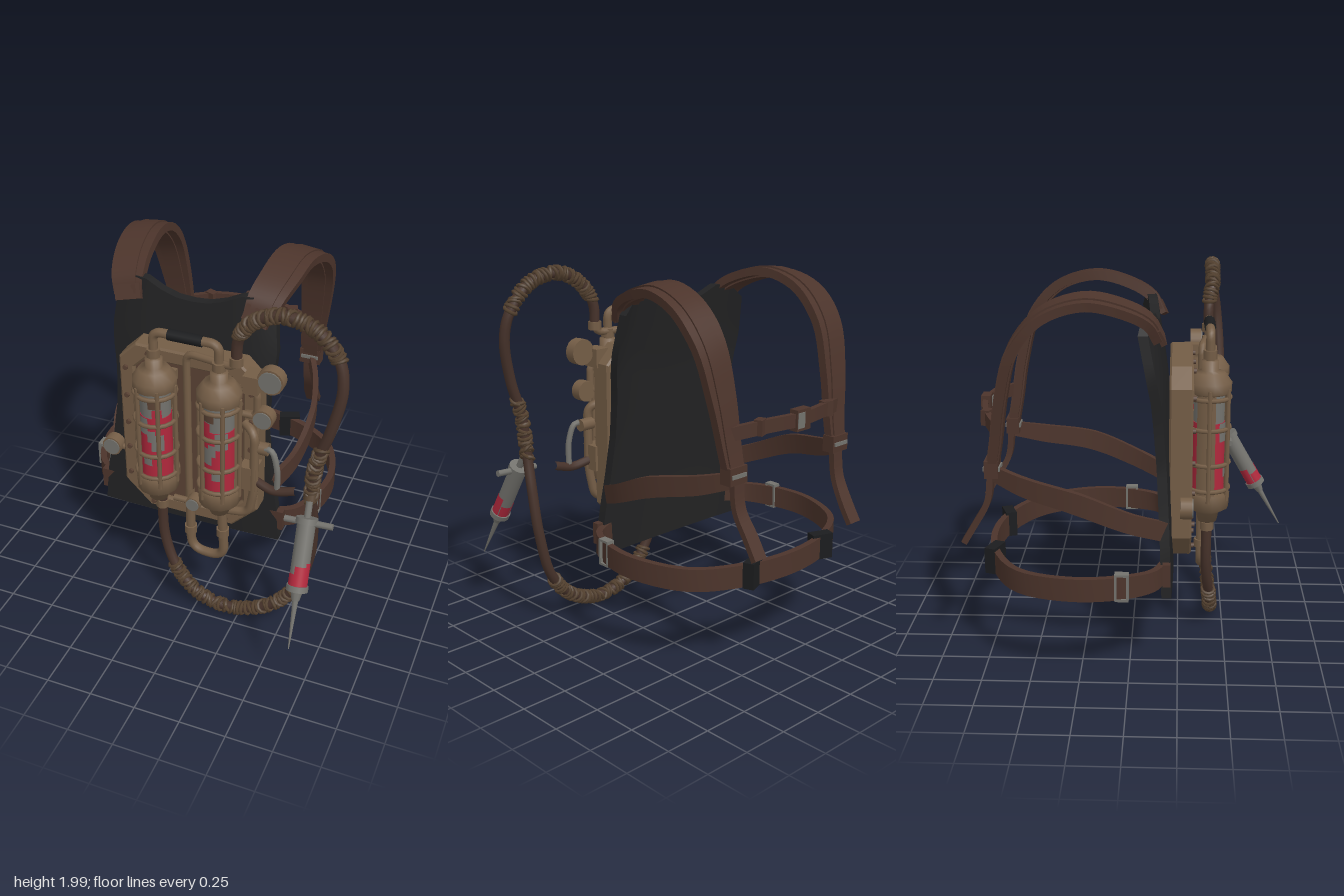
import * as THREE from 'three';
import { toCreasedNormals } from 'three/addons/utils/BufferGeometryUtils.js';

const V = (x, y, z) => new THREE.Vector3(x, y, z);
const UP = V(0, 1, 0);
const lerpList = (list, t) => {
  const f = Math.min(Math.max(t, 0), 1) * (list.length - 1), i = Math.min(Math.floor(f), list.length - 2);
  return list[i] + (list[i + 1] - list[i]) * (f - i);
};
const mat = (name, color) => Object.assign(new THREE.MeshStandardMaterial({ color }), { name });

export function createModel() {
  const M = {
    fabric: mat('black fabric', 0x222223), leather: mat('brown leather', 0x4c342b),
    brass: mat('aged brass', 0x745d46), plate: mat('dark bronze', 0x5a4234),
    hose: mat('hose leather', 0x46322a), wire: mat('wire wrap', 0x54412f),
    red: mat('red fluid', 0xb0283c), steel: mat('grey steel', 0x73726d),
    buckle: mat('black buckle', 0x1b1c1e),
  };
  const model = new THREE.Group();
  const add = (parent, name, geo, material, x = 0, y = 0, z = 0) => {
    const m = new THREE.Mesh(geo, material);
    m.name = name;
    m.position.set(x, y, z);
    parent.add(m);
    return m;
  };
  const group = (name, parent = model) => {
    const g = new THREE.Group();
    g.name = name;
    parent.add(g);
    return g;
  };
  const box = (parent, name, m, w, h, d, x, y, z) => add(parent, name, new THREE.BoxGeometry(w, h, d), m, x, y, z);
  const cyl = (parent, name, m, r0, r1, h, x, y, z, n = 14) => add(parent, name, new THREE.CylinderGeometry(r0, r1, h, n), m, x, y, z);
  const disc = (parent, name, m, r, d, x, y, z, n = 16) => {
    const c = cyl(parent, name, m, r, r, d, x, y, z, n);
    c.rotation.x = Math.PI / 2;
    return c;
  };
  // open curved plate on a cylinder, facing angle a
  const sleeve = (parent, name, m, r, h, y, a, w) => add(parent, name, new THREE.CylinderGeometry(r, r, h, 8, 1, true, a - w / 2, w), m, 0, y, 0);
  const curveOf = pts => new THREE.CatmullRomCurve3(pts.map(p => V(...p)), false, 'centripetal');
  const tube = (parent, name, m, pts, r, seg = 40) => add(parent, name, new THREE.TubeGeometry(curveOf(pts), seg, r, 9), m);
  // straight pipe with rounded elbows
  const pipe = (parent, name, m, pts, r, bend = 0.05) => {
    const p = pts.map(a => V(...a)), path = new THREE.CurvePath();
    let from = p[0];
    for (let i = 1; i < p.length - 1; i++) {
      const a = p[i].clone().add(p[i - 1].clone().sub(p[i]).setLength(bend));
      const b = p[i].clone().add(p[i + 1].clone().sub(p[i]).setLength(bend));
      path.add(new THREE.LineCurve3(from, a));
      path.add(new THREE.QuadraticBezierCurve3(a, p[i], b));
      from = b;
    }
    path.add(new THREE.LineCurve3(from, p[p.length - 1]));
    return add(parent, name, new THREE.TubeGeometry(path, 60, r, 9), m);
  };
  // flat strap swept along a path, wide along the direction "across"
  const strap = (parent, name, m, pts, across, widths, thick, seg = 30) => {
    const curve = curveOf(pts), pos = [], idx = [];
    for (let i = 0; i <= seg; i++) {
      const t = i / seg, c = curve.getPoint(t), tan = curve.getTangent(t);
      const r = V(...across).addScaledVector(tan, -V(...across).dot(tan)).normalize();
      const n = tan.clone().cross(r), w = lerpList(widths, t) / 2;
      for (const [a, b] of [[-1, -1], [1, -1], [1, 1], [-1, 1]])
        pos.push(...c.clone().addScaledVector(r, a * w).addScaledVector(n, b * thick / 2).toArray());
      if (i < seg) for (let k = 0; k < 4; k++) {
        const a = i * 4 + k, b = i * 4 + (k + 1) % 4;
        idx.push(a, b, b + 4, a, b + 4, a + 4);
      }
    }
    const e = seg * 4;
    idx.push(0, 3, 2, 0, 2, 1, e, e + 1, e + 2, e, e + 2, e + 3);
    const g = new THREE.BufferGeometry();
    g.setAttribute('position', new THREE.Float32BufferAttribute(pos, 3));
    g.setIndex(idx);
    return add(parent, name, toCreasedNormals(g, 0.6), m);
  };

  // Harness, symmetric about its own centre
  const harness = group('harness');
  harness.position.x = -0.12;
  const back = new THREE.BoxGeometry(2, 1, 0.05, 20, 20, 1), bp = back.attributes.position;
  for (let i = 0; i < bp.count; i++) {
    const u = bp.getX(i), v = bp.getY(i) + 0.5;
    const top = lerpList([1.77, 1.775, 1.8, 1.84, 1.84, 1.76], Math.abs(u));
    const half = lerpList([0.52, 0.5, 0.46, 0.43, 0.43, 0.455, 0.43], v);
    const z = lerpList([0.2, 0.195, 0.185, 0.165, 0.115], v) - lerpList([0.01, 0.02, 0.03, 0.05], v) * u * u;
    bp.setXYZ(i, u * half, 0.43 + v * (top - 0.43), bp.getZ(i) + z);
  }
  add(harness, 'backPanel', toCreasedNormals(back, 0.7), M.fabric);

  for (const s of [-1, 1]) {
    const side = group(s > 0 ? 'leftStraps' : 'rightStraps', harness);
    const mir = pts => pts.map(([x, y, z]) => [x * s, y, z]);
    const over = mir([[0.35, 1.74, 0.135], [0.37, 1.82, 0.09], [0.4, 1.89, -0.04], [0.42, 1.925, -0.22],
      [0.44, 1.86, -0.42], [0.44, 1.7, -0.56], [0.42, 1.45, -0.63], [0.4, 1.22, -0.665], [0.39, 1.08, -0.69]]);
    strap(side, 'shoulderStrap', M.leather, over, [s, -0.12, 0], [0.15, 0.18, 0.2, 0.2, 0.2, 0.17, 0.13, 0.11], 0.045, 40);
    strap(side, 'shoulderWebbing', M.leather, over, [s, -0.12, 0], [0.1, 0.1, 0.1, 0.1, 0.09, 0.08], 0.062, 40);
    const patch = box(side, 'shoulderPatch', M.leather, 0.14, 0.08, 0.03, s * 0.35, 1.76, 0.145);
    patch.rotation.set(-0.45, 0, s * -0.25);
    strap(side, 'sideStrap', M.leather, mir([[0.39, 1.05, -0.69], [0.47, 1.0, -0.52], [0.54, 0.94, -0.25],
      [0.53, 0.84, 0], [0.46, 0.77, 0.18]]), [0, 1, 0], [0.08, 0.1, 0.11, 0.1, 0.1], 0.03);
    strap(side, 'strapTail', M.leather, mir([[0.38, 1.06, -0.7], [0.38, 0.9, -0.72], [0.37, 0.77, -0.79], [0.37, 0.67, -0.85]]),
      [1, 0, 0], [0.07, 0.07, 0.08, 0.08], 0.032, 14);
    box(side, 'strapBuckle', M.leather, 0.12, 0.09, 0.07, s * 0.39, 1.08, -0.69);
    box(side, 'strapBar', M.steel, 0.1, 0.02, 0.085, s * 0.39, 1.08, -0.69);
    const clip = box(side, 'chestLoop', M.leather, 0.06, 0.08, 0.045, s * 0.25, 1.3, -0.73);
    clip.rotation.y = s * 0.35;
    const front = box(side, 'beltBuckle', M.buckle, 0.12, 0.14, 0.06, s * 0.265, 0.535, -0.715);
    front.rotation.y = s * 0.35;
    // open metal frame on the side of the belt
    for (const d of [-0.03, 0.03]) {
      box(side, 'beltFrame', M.steel, 0.045, 0.13, 0.012, s * 0.65, 0.55, -0.03 + d);
      box(side, 'beltFrame', M.steel, 0.045, 0.012, 0.07, s * 0.65, 0.55 + d * 2.2, -0.03);
    }
    box(side, 'beltPad', M.leather, 0.1, 0.12, 0.04, s * 0.49, 0.56, 0.19);
  }
  const half = [[0.45, 0.56, 0.18], [0.57, 0.55, 0.12], [0.65, 0.545, -0.05], [0.665, 0.54, -0.28], [0.55, 0.53, -0.55], [0.3, 0.53, -0.7]];
  strap(harness, 'waistBelt', M.leather, [...half.map(([x, y, z]) => [-x, y, z]), [0, 0.53, -0.75], ...half.reverse()],
    [0, 1, 0], [0.1, 0.12, 0.12, 0.12, 0.12, 0.12, 0.1], 0.035, 60);
  strap(harness, 'chestStrap', M.leather, [[-0.4, 1.28, -0.67], [-0.22, 1.3, -0.74], [0, 1.3, -0.77], [0.22, 1.3, -0.74], [0.4, 1.28, -0.67]],
    [0, 1, 0], [0.07, 0.07], 0.03);
  box(harness, 'chestClasp', M.leather, 0.1, 0.11, 0.05, 0, 1.3, -0.77);
  box(harness, 'chestClaspBar', M.steel, 0.05, 0.08, 0.058, 0.02, 1.3, -0.77);

  // Chamfered base plate with raised frame
  const machine = group('machine');
  const octagon = (T, x0, x1, y0, y1, a, b) => {
    const s = new T();
    [[x0 + b, y0], [x1 - b, y0], [x1, y0 + b], [x1, y1 - a], [x1 - a, y1], [x0 + a, y1], [x0, y1 - a], [x0, y0 + b]]
      .forEach(([x, y], i) => (i ? s.lineTo(x, y) : s.moveTo(x, y)));
    s.closePath();
    return s;
  };
  const rim = octagon(THREE.Shape, -0.45, 0.3, 0.55, 1.56, 0.09, 0.14);
  rim.holes.push(octagon(THREE.Path, -0.385, 0.235, 0.61, 1.5, 0.07, 0.11));
  add(machine, 'plateFrame', new THREE.ExtrudeGeometry(rim, { depth: 0.1, bevelSize: 0.01, bevelThickness: 0.01, bevelSegments: 1 }), M.brass, 0, 0, 0.205);
  add(machine, 'basePlate', new THREE.ExtrudeGeometry(octagon(THREE.Shape, -0.42, 0.27, 0.58, 1.54, 0.08, 0.12), { depth: 0.09, bevelEnabled: false }), M.plate, 0, 0, 0.2);
  for (const y of [0.75, 0.92, 1.08, 1.25, 1.42]) for (const x of [-0.42, 0.27]) disc(machine, 'bolt', M.plate, 0.014, 0.025, x, y, 0.318, 6);
  for (const x of [-0.29, -0.08, 0.13]) for (const y of [0.58, 1.53]) disc(machine, 'bolt', M.plate, 0.014, 0.025, x, y, 0.318, 6);

  // Two caged fluid canisters
  for (const [k, x] of [-0.22, 0.13].entries()) {
    const can = group('canister', machine), flip = k ? -1 : 1;
    can.position.set(x, 0, 0.4);
    cyl(can, 'glass', M.steel, 0.08, 0.08, 0.6, 0, 1.13, 0, 18);
    cyl(can, 'fluid', M.red, 0.083, 0.083, 0.38, 0, 1.06, 0, 18);
    // clear patches and splashes on the glass
    for (const [a, y, w, h, m] of [[-0.5, 1.2, 0.8, 0.1, 'steel'], [0.5, 1.1, 0.8, 0.1, 'steel'], [-0.2, 0.98, 0.6, 0.05, 'steel'], [0.1, 1.14, 0.5, 0.07, 'steel'],
      [2.4, 1.15, 0.9, 0.1, 'steel'], [-2, 1.05, 0.7, 0.1, 'steel'], [0.35, 1.34, 0.8, 0.06, 'plate'], [0.5, 1.27, 0.6, 0.07, 'red']])
      sleeve(can, 'glassPatch', M[m], 0.086, h, y, a * flip, w);
    // brass guard on the outer side
    sleeve(can, 'sideGuard', M.brass, 0.1, 0.56, 1.13, -1.75 * flip, 1.0);
    const cap = [[0, 0.7], [0.05, 0.7], [0.06, 0.75], [0.11, 0.78], [0.115, 0.86], [0.09, 0.87], [0, 0.87]];
    add(can, 'bottomCap', new THREE.LatheGeometry(cap.map(p => new THREE.Vector2(...p)), 14), M.brass);
    const lid = [[0, 1.4], [0.1, 1.4], [0.115, 1.41], [0.115, 1.46], [0.08, 1.51], [0.045, 1.52], [0.045, 1.57], [0, 1.57]];
    add(can, 'topCap', new THREE.LatheGeometry(lid.map(p => new THREE.Vector2(...p)), 14), M.brass);
    for (let i = 0; i < 6; i++) {
      const a = (i + 0.5) * Math.PI / 3;
      cyl(can, 'cageBar', M.brass, 0.012, 0.012, 0.6, Math.sin(a) * 0.11, 1.13, Math.cos(a) * 0.11, 6);
    }
    for (const y of [0.89, 1.03, 1.22, 1.38])
      add(can, 'cageRing', new THREE.TorusGeometry(0.108, 0.012, 6, 18), M.brass, 0, y, 0).rotation.x = Math.PI / 2;
    for (const y of [0.82, 1.43]) box(can, 'bracket', M.brass, 0.16, 0.06, 0.1, 0, y, -0.09);
  }

  // Pipework
  pipe(machine, 'topPipe', M.brass, [[-0.22, 1.55, 0.4], [-0.22, 1.72, 0.4], [0.13, 1.72, 0.4], [0.13, 1.55, 0.4]], 0.024);
  const grip = cyl(machine, 'topGrip', M.buckle, 0.03, 0.03, 0.18, -0.045, 1.72, 0.4, 10);
  grip.rotation.z = Math.PI / 2;
  pipe(machine, 'feedPipe', M.brass, [[-0.06, 0.74, 0.36], [-0.06, 1.61, 0.36], [0.22, 1.61, 0.4], [0.22, 1.7, 0.4]], 0.02);
  pipe(machine, 'drainPipe', M.brass, [[-0.05, 0.78, 0.37], [-0.05, 0.36, 0.37], [0.15, 0.36, 0.38], [0.14, 0.75, 0.4]], 0.026, 0.09);
  for (const [x, y, z] of [[-0.05, 0.5, 0.37], [0.145, 0.55, 0.39], [-0.2, 0.66, 0.4], [0.22, 1.65, 0.4], [-0.22, 1.6, 0.4], [0.13, 1.6, 0.4]])
    cyl(machine, 'pipeCollar', M.brass, 0.036, 0.036, 0.045, x, y, z, 8);
  pipe(machine, 'sidePipe', M.brass, [[0.14, 0.68, 0.36], [0.28, 0.7, 0.36], [0.31, 0.86, 0.37], [0.31, 1.22, 0.37], [0.24, 1.24, 0.32]], 0.024);
  pipe(machine, 'gaugePipe', M.brass, [[0.24, 1.46, 0.32], [0.31, 1.45, 0.34], [0.31, 1.32, 0.34], [0.24, 1.3, 0.32]], 0.02, 0.03);
  box(machine, 'valveBlock', M.brass, 0.09, 0.14, 0.1, 0.28, 0.94, 0.34);
  box(machine, 'valveBlock', M.brass, 0.08, 0.1, 0.1, 0.28, 1.5, 0.32);

  // Crank on the side
  tube(machine, 'crankArm', M.steel, [[0.33, 1.13, 0.36], [0.4, 1.14, 0.37], [0.435, 1.05, 0.38], [0.44, 0.92, 0.38]], 0.016, 16);
  tube(machine, 'crankHandle', M.hose, [[0.32, 0.92, 0.36], [0.42, 0.9, 0.38], [0.54, 0.93, 0.38]], 0.024, 12);
  cyl(machine, 'crankHub', M.brass, 0.035, 0.035, 0.08, 0.34, 1.13, 0.35, 8).rotation.z = Math.PI / 2;

  // Dial gauges
  for (const [x, y, z, r] of [[0.38, 1.54, 0.335, 0.07], [0.35, 1.32, 0.35, 0.056], [-0.535, 0.88, 0.285, 0.055], [0, 0.74, 0.43, 0.042]]) {
    const gauge = group('gauge', machine);
    disc(gauge, 'gaugeBody', M.brass, r, 0.06, x, y, z);
    disc(gauge, 'gaugeFace', M.steel, r * 0.85, 0.008, x, y, z + 0.032);
    const stem = cyl(gauge, 'gaugeStem', M.brass, 0.018, 0.018, 0.1, x + (x < -0.1 ? 0.07 : -0.07), y - 0.01, z - 0.01, 8);
    stem.rotation.z = Math.PI / 2;
  }

  // Long hose looping from the top pipe to the left canister's base
  const hosePts = [[0.22, 1.64, 0.4], [0.23, 1.77, 0.4], [0.3, 1.885, 0.42], [0.45, 1.955, 0.42], [0.62, 1.92, 0.43], [0.74, 1.79, 0.44],
    [0.77, 1.65, 0.46], [0.73, 1.42, 0.48], [0.67, 1.22, 0.48], [0.65, 1, 0.47], [0.655, 0.8, 0.43], [0.64, 0.55, 0.4], [0.57, 0.3, 0.4],
    [0.42, 0.13, 0.42], [0.2, 0.05, 0.43], [0.02, 0.09, 0.43], [-0.11, 0.22, 0.42], [-0.19, 0.42, 0.4], [-0.2, 0.72, 0.4]];
  const hose = group('hose');
  tube(hose, 'hoseTube', M.hose, hosePts, 0.028, 140);
  const hoseCurve = curveOf(hosePts);
  let seed = 7;
  const rnd = () => (seed = (seed * 16807) % 2147483647) / 2147483647 - 0.5;
  const ring = new THREE.TorusGeometry(0.034, 0.01, 5, 10);
  for (const [a, b, n] of [[1.2, 5, 32], [7.6, 9.1, 18], [12.2, 16.2, 40]])
    for (let i = 0; i < n; i++) {
      const t = (a + (b - a) * i / (n - 1)) / (hosePts.length - 1), p = hoseCurve.getPoint(t);
      const r = add(hose, 'wireWrap', ring, M.wire, p.x, p.y, p.z);
      const dir = hoseCurve.getTangent(t).add(V(rnd(), rnd(), rnd()).multiplyScalar(0.9)).normalize();
      r.quaternion.setFromUnitVectors(V(0, 0, 1), dir);
    }

  // Syringe hanging off the hose, built pointing down its own -y
  const syringe = group('syringe');
  syringe.position.set(0.65, 1.0, 0.49);
  syringe.quaternion.setFromUnitVectors(UP.clone().negate(), V(0.04, -0.67, 0.38).normalize());
  cyl(syringe, 'plunger', M.steel, 0.018, 0.018, 0.16, 0, -0.04, 0, 8);
  cyl(syringe, 'plungerCap', M.wire, 0.032, 0.032, 0.06, 0, 0.02, 0, 10);
  cyl(syringe, 'barrel', M.steel, 0.047, 0.047, 0.36, 0, -0.29, 0);
  // ragged fluid level
  for (const [a, h] of [[-0.9, 0.06], [0.3, 0.1], [1.5, 0.12], [2.8, 0.07], [4.1, 0.1]])
    sleeve(syringe, 'syringeFluid', M.red, 0.049, h, -0.44 + h / 2, a, 1.2);
  for (const y of [-0.11, -0.455]) cyl(syringe, 'barrelCollar', M.steel, 0.056, 0.056, 0.03, 0, y, 0);
  const wings = cyl(syringe, 'fingerWings', M.steel, 0.017, 0.017, 0.25, 0.01, -0.12, 0, 8);
  wings.rotation.z = Math.PI / 2;
  cyl(syringe, 'needleBase', M.steel, 0.034, 0.02, 0.06, 0, -0.49, 0, 10);
  cyl(syringe, 'needle', M.steel, 0.016, 0.003, 0.26, 0, -0.64, 0, 8);
  return model;
}
